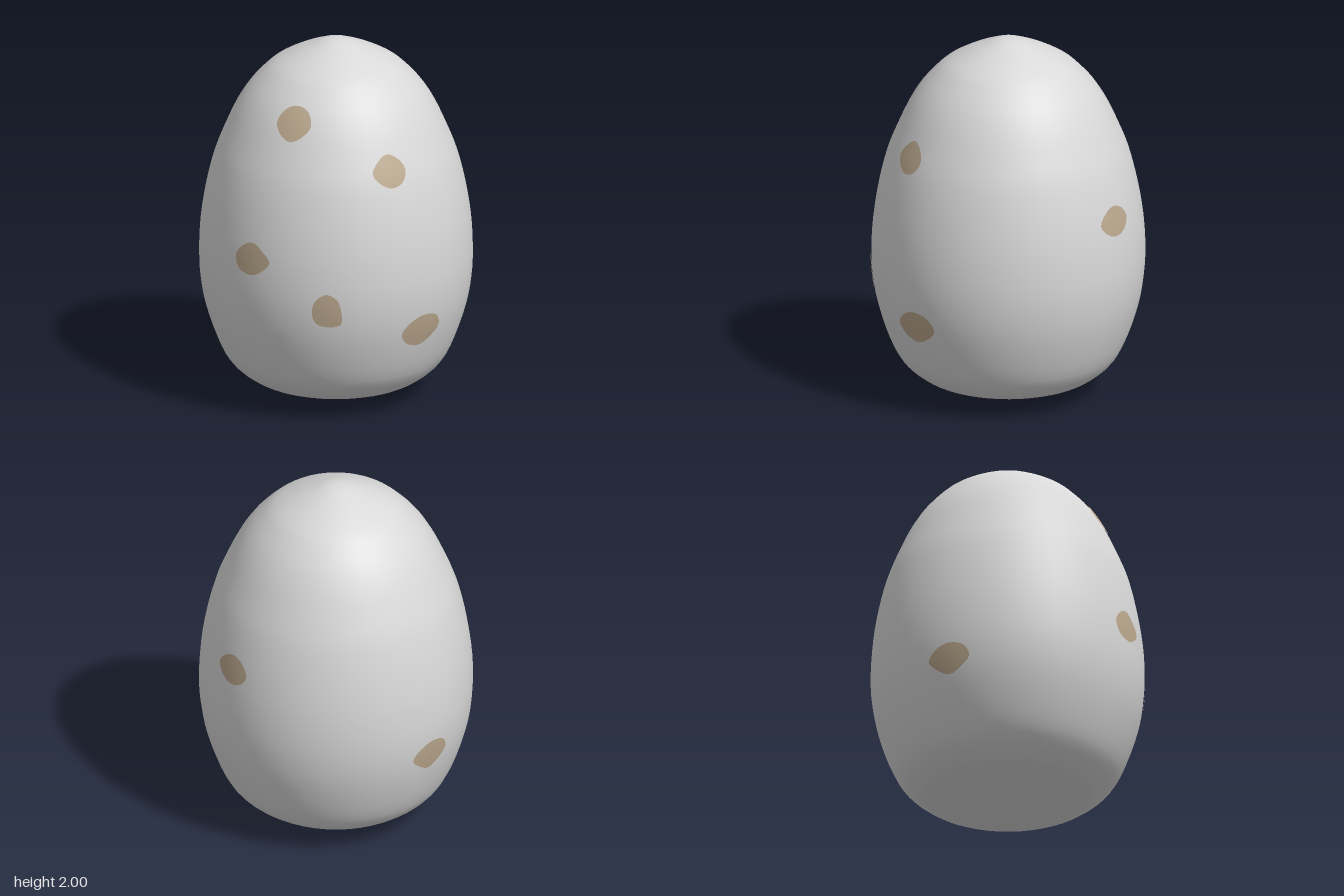
import * as THREE from 'three';

// Egg profile, [radius, height] from base to tip
const PROFILE = [
  [0, 0], [0.1, 0.012], [0.23, 0.032], [0.41, 0.075], [0.5, 0.12], [0.585, 0.2], [0.65, 0.33],
  [0.705, 0.5], [0.732, 0.65], [0.74, 0.8], [0.73, 0.98], [0.7, 1.17], [0.655, 1.35],
  [0.6, 1.49], [0.54, 1.62], [0.475, 1.725], [0.4, 1.81], [0.33, 1.87], [0.22, 1.93],
  [0.13, 1.968], [0.06, 1.993], [0, 2],
];
const profile = new THREE.SplineCurve(PROFILE.map(([r, y]) => new THREE.Vector2(r, y))).getPoints(63);
profile.forEach((p) => { p.x = Math.max(p.x, 0); p.y = THREE.MathUtils.clamp(p.y, 0, 2); });

// Shell radius at a height
function radiusAt(y) {
  const i = Math.max(1, profile.findIndex((p) => p.y >= y));
  const a = profile[i - 1], b = profile[i];
  return THREE.MathUtils.lerp(a.x, b.x, (y - a.y) / (b.y - a.y));
}

// Point lying just outside the shell
function surfacePoint(angle, y, lift) {
  const slope = (radiusAt(y + 0.02) - radiusAt(y - 0.02)) / 0.04;
  const n = Math.hypot(1, slope);
  const r = radiusAt(y) + lift / n;
  return [r * Math.sin(angle), y - (lift * slope) / n, r * Math.cos(angle)];
}

// Thin irregular patch wrapped onto the shell
function spotGeometry({ angle, y, w, h, radii }) {
  const outline = new THREE.CatmullRomCurve3(radii.map((k, i) => {
    const t = (i / radii.length) * Math.PI * 2;
    return new THREE.Vector3(w * k * Math.cos(t), h * k * Math.sin(t), 0);
  }), true);
  const sides = 24, rings = 4;
  const a0 = THREE.MathUtils.degToRad(angle), r0 = radiusAt(y);
  const positions = [...surfacePoint(a0, y, 0.004)];
  const index = [];
  for (let j = 1; j <= rings; j++) {
    for (let i = 0; i < sides; i++) {
      const p = outline.getPoint(i / sides).multiplyScalar(j / rings);
      positions.push(...surfacePoint(a0 + p.x / r0, y + p.y, 0.004));
      const next = (i + 1) % sides;
      const outer = 1 + (j - 1) * sides, inner = outer - sides;
      if (j === 1) index.push(0, outer + i, outer + next);
      else index.push(inner + i, outer + i, outer + next, inner + i, outer + next, inner + next);
    }
  }
  const geometry = new THREE.BufferGeometry();
  geometry.setAttribute('position', new THREE.Float32BufferAttribute(positions, 3));
  geometry.setIndex(index);
  geometry.computeVertexNormals();
  return geometry;
}

// Angle is measured from the front towards +x; w and h are half sizes along the shell
const SPOTS = [
  { angle: -22.6, y: 1.665, w: 0.103, h: 0.088, radii: [0.97, 1, 0.97, 1, 1, 0.9, 1, 0.87] },
  { angle: 31, y: 1.425, w: 0.103, h: 0.09, radii: [0.95, 0.9, 1, 0.87, 0.97, 0.85, 0.93, 0.95] },
  { angle: -34.5, y: 0.935, w: 0.115, h: 0.093, radii: [1, 0.82, 1, 0.9, 1, 1.05, 0.95, 0.85] },
  { angle: 0, y: 0.693, w: 0.087, h: 0.095, radii: [0.85, 0.88, 1, 0.95, 0.97, 1.08, 1, 1.18] },
  { angle: 44, y: 0.52, w: 0.13, h: 0.09, radii: [1, 1.05, 1, 0.9, 1, 1, 1, 0.85] },
  { angle: 142, y: 1.095, w: 0.115, h: 0.085, radii: [1, 0.95, 1, 0.9, 1, 0.9, 0.95, 0.95] },
  { angle: -122, y: 0.61, w: 0.122, h: 0.09, radii: [1, 1, 0.95, 0.9, 1, 0.85, 1, 0.85] },
];

export function createModel() {
  const group = new THREE.Group();
  group.name = 'egg';

  const shellMaterial = new THREE.MeshStandardMaterial({ color: 0xd8d8d8 });
  shellMaterial.name = 'pale shell';
  const spotMaterial = new THREE.MeshStandardMaterial({ color: 0xbba88e });
  spotMaterial.name = 'tan spot';

  // Smooth shell
  const shell = new THREE.Mesh(new THREE.LatheGeometry(profile, 48), shellMaterial);
  shell.name = 'shell';
  group.add(shell);

  // Speckles
  SPOTS.forEach((spot, i) => {
    const mesh = new THREE.Mesh(spotGeometry(spot), spotMaterial);
    mesh.name = `spot${i + 1}`;
    group.add(mesh);
  });
  return group;
}
